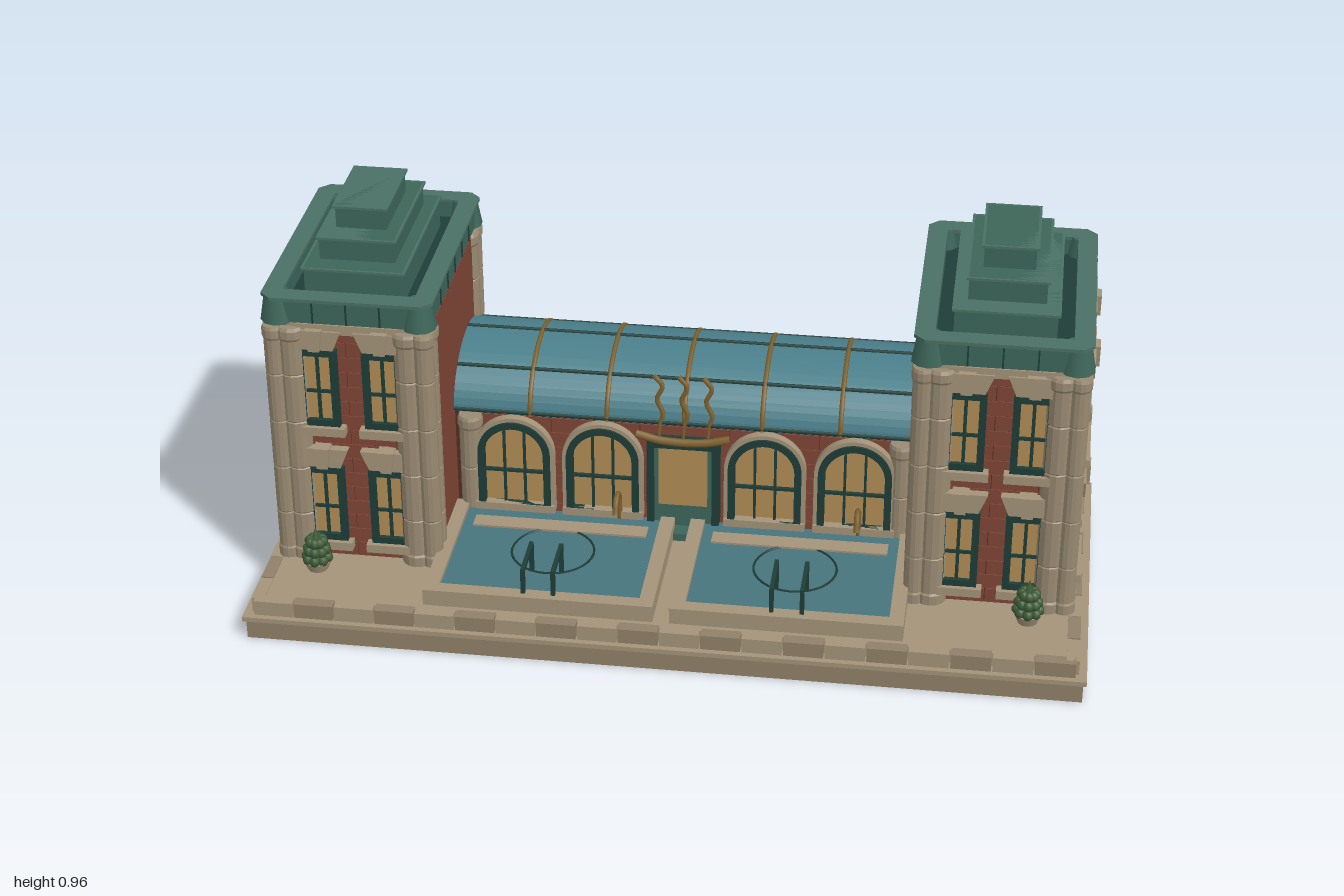
import * as THREE from 'three';
import { mergeGeometries } from 'three/addons/utils/BufferGeometryUtils.js';

const mat = (color, extra = {}) => new THREE.MeshStandardMaterial({ color, ...extra });
const M = {
  stone: mat(0xa39379), darkStone: mat(0x8f8069), brick: mat(0x7f4636), mortar: mat(0x542c24),
  roof: mat(0x3d6659), roofTop: mat(0x4a7064), frame: mat(0x1f3d38), glass: mat(0xb08d55),
  canopy: mat(0x4a7f8a), water: mat(0x47747d), gold: mat(0x80632f), leaf: mat(0x3d5a35),
};

function add(parent, name, geo, material, x = 0, y = 0, z = 0) {
  const m = new THREE.Mesh(geo, material);
  m.name = name;
  m.position.set(x, y, z);
  parent.add(m);
  return m;
}
// Box given by its bottom height
const box = (p, name, material, w, h, d, x, y0, z) =>
  add(p, name, new THREE.BoxGeometry(w, h, d), material, x, y0 + h / 2, z);

function group(parent, name, x = 0, y = 0, z = 0, ry = 0) {
  const g = new THREE.Group();
  g.name = name;
  g.position.set(x, y, z);
  g.rotation.y = ry;
  parent.add(g);
  return g;
}
const tube = (p, name, pts, r, material, n = 16) => add(p, name, new THREE.TubeGeometry(
  new THREE.CatmullRomCurve3(pts.map((a) => new THREE.Vector3(...a))), n, r, 6), material);

// Running-bond brick skin facing +z
function bricks(parent, w, h, y0) {
  const parts = [], rows = Math.round(h / 0.04), rh = h / rows, L = 0.11, gap = 0.002;
  for (let r = 0; r < rows; r++) {
    for (let a = -w / 2 - (r % 2) * L / 2; a < w / 2; a += L) {
      const l = Math.max(a, -w / 2), e = Math.min(a + L, w / 2);
      if (e - l < 0.01) continue;
      parts.push(new THREE.BoxGeometry(e - l - gap, rh - gap, 0.006).translate((l + e) / 2, y0 + (r + 0.5) * rh, 0));
    }
  }
  add(parent, 'brickwork', mergeGeometries(parts), M.brick);
}

// Sash window with sill, flared lintel and keystone, facing +z
function sashWindow(parent, x, y0, w, h) {
  const g = group(parent, 'window', x, y0, 0), t = 0.017;
  box(g, 'glass', M.glass, w - t, h - t, 0.012, 0, t / 2, 0.002);
  for (const s of [-1, 1]) {
    box(g, 'frameSide', M.frame, t, h, 0.026, s * (w - t) / 2, 0, 0.006);
    box(g, 'frameRail', M.frame, w, t, 0.026, 0, s < 0 ? 0 : h - t, 0.006);
  }
  box(g, 'mullion', M.frame, 0.008, h * 0.85, 0.018, 0, h * 0.08, 0.004);
  box(g, 'crossbar', M.frame, w, 0.008, 0.018, 0, h * 0.43, 0.004);
  box(g, 'sill', M.stone, w + 0.025, 0.022, 0.04, 0, -0.022, 0.01);
  const wedge = (name, b, t2, hh, d) => {
    const s = new THREE.Shape();
    s.moveTo(-b, 0); s.lineTo(b, 0); s.lineTo(t2, hh); s.lineTo(-t2, hh); s.closePath();
    add(g, name, new THREE.ExtrudeGeometry(s, { depth: d, bevelEnabled: false }), M.stone, 0, h + 0.004, 0);
  };
  wedge('lintel', w / 2 - 0.005, w / 2 + 0.015, 0.05, 0.025);
  wedge('keystone', 0.013, 0.02, 0.055, 0.035);
}

function archShape(r, spring, cls = THREE.Shape) {
  const s = new cls();
  s.moveTo(-r, 0); s.lineTo(r, 0); s.lineTo(r, spring);
  s.absarc(0, spring, r, 0, Math.PI, false);
  s.lineTo(-r, 0);
  return s;
}
function archedWindow(parent, x) {
  const g = group(parent, 'archedWindow', x, 0.15, -0.035);
  const ring = (name, ro, ri, d, material) => {
    const s = archShape(ro, 0.14);
    if (ri) s.holes.push(archShape(ri, 0.14, THREE.Path));
    add(g, name, new THREE.ExtrudeGeometry(s, { depth: d, bevelEnabled: false, curveSegments: 16 }), material);
  };
  ring('stoneArch', 0.1, 0.088, 0.022, M.stone);
  ring('frame', 0.09, 0.073, 0.028, M.frame);
  ring('glass', 0.08, 0, 0.008, M.glass);
  for (const dx of [-0.025, 0.025]) box(g, 'mullion', M.frame, 0.006, 0.2, 0.014, dx, 0, 0.01);
  box(g, 'crossbar', M.frame, 0.15, 0.007, 0.014, 0, 0.085, 0.01);
  box(g, 'sill', M.stone, 0.2, 0.02, 0.04, 0, -0.02, 0.01);
}

// Banded round shaft with base and capital
function column(parent, x, z, r, h) {
  const pts = [[0, 0], [r * 1.1, 0], [r * 1.1, 0.025], [r, 0.03]];
  const n = Math.round(h / 0.13);
  for (let i = 1; i < n; i++) {
    const y = h * i / n;
    pts.push([r, y - 0.003], [r * 0.94, y], [r, y + 0.003]);
  }
  pts.push([r, h - 0.035], [r * 1.12, h - 0.028], [r * 1.12, h - 0.008], [r, h], [0, h]);
  add(parent, 'column', new THREE.LatheGeometry(pts.map((p) => new THREE.Vector2(...p)), 14),
    mat(0x998a72, { flatShading: true }), x, 0.1, z);
}

function tower(root, side) {
  const t = group(root, 'tower', side * 0.76, 0, -0.085);
  box(t, 'core', M.mortar, 0.37, 0.64, 0.56, 0, 0.1, 0);
  box(t, 'innerWall', M.brick, 0.01, 0.63, 0.53, -side * 0.186, 0.1, 0);
  // Front, back and outer faces
  for (const [ry, d, w, off, ww] of [[0, 0.28, 0.24, 0.078, 0.096], [Math.PI, 0.28, 0.24, 0.078, 0.096],
    [side * Math.PI / 2, 0.185, 0.44, 0.125, 0.155]]) {
    const f = group(t, 'facade', Math.sin(ry) * d, 0, Math.cos(ry) * d, ry);
    bricks(f, w, 0.63, 0.1);
    for (const y of [0.15, 0.47]) for (const s of [-1, 1]) sashWindow(f, s * off, y, ww, 0.205);
    box(f, 'frieze', M.stone, w, 0.025, 0.03, 0, 0.72, 0.005);
  }
  for (const sx of [-1, 1]) for (const sz of [-1, 1]) {
    column(t, sx * 0.178, sz * 0.288, 0.025, 0.635);
    column(t, sx * 0.138, sz * 0.278, 0.035, 0.635);
    column(t, sx * 0.168, sz * 0.247, 0.035, 0.635);
    // Flared roof corner
    add(t, 'roofCorner', new THREE.CylinderGeometry(0.03, 0.042, 0.068, 10), M.roof, sx * 0.168, 0.776, sz * 0.271);
  }
  box(t, 'topCourse', M.stone, 0.38, 0.012, 0.59, 0, 0.735, 0);
  box(t, 'roofFloor', M.frame, 0.35, 0.02, 0.56, 0, 0.744, 0);
  // Parapet ring
  const rect = (C, a, b, c) => {
    const s = new C();
    s.moveTo(-a + c, -b);
    for (const [x, y] of [[a - c, -b], [a, -b + c], [a, b - c], [a - c, b], [-a + c, b], [-a, b - c], [-a, -b + c], [-a + c, -b]]) s.lineTo(x, y);
    return s;
  };
  const ring = (name, a, b, h, y, material) => {
    const s = rect(THREE.Shape, a, b, 0.025);
    s.holes.push(rect(THREE.Path, 0.157, 0.257, 0.001));
    add(t, name, new THREE.ExtrudeGeometry(s, { depth: h, bevelEnabled: false }).rotateX(-Math.PI / 2), material, 0, y, 0);
  };
  ring('parapet', 0.196, 0.296, 0.06, 0.745, M.roof);
  ring('parapetCap', 0.204, 0.305, 0.008, 0.803, M.roofTop);
  for (const s of [-1, 1]) {
    for (let i = -2; i <= 2; i++) {
      box(t, 'roofSeam', M.frame, 0.004, 0.056, 0.004, s * 0.197, 0.746, i * 0.083);
      if (Math.abs(i) < 2) box(t, 'roofSeam', M.frame, 0.004, 0.056, 0.004, i * 0.08, 0.746, s * 0.297);
    }
  }
  // Stepped roof
  for (const [hx, hz, y0, y1] of [[0.118, 0.208, 0.76, 0.845], [0.09, 0.16, 0.845, 0.903], [0.06, 0.106, 0.903, 0.96]]) {
    box(t, 'roofStep', M.roof, hx * 2, y1 - y0, hz * 2, 0, y0, 0);
    box(t, 'roofStepLip', M.roofTop, hx * 2 + 0.012, 0.006, hz * 2 + 0.012, 0, y1 - 0.006, 0);
  }
}

function hall(root) {
  const g = group(root, 'hall');
  box(g, 'hallCore', M.mortar, 1.15, 0.285, 0.35, 0, 0.1, -0.218);
  bricks(group(g, 'frontWall', 0, 0, -0.042), 1.1, 0.285, 0.1);
  const back = group(g, 'backWall', 0, 0, -0.394, Math.PI);
  bricks(back, 1.1, 0.285, 0.1);
  for (const x of [-0.36, 0, 0.36]) sashWindow(back, x, 0.15, 0.15, 0.2);
  for (const x of [-0.42, -0.2, 0.2, 0.42]) archedWindow(g, x);
  for (const s of [-1, 1]) {
    column(g, s * 0.53, -0.035, 0.028, 0.285);
    column(g, s * 0.51, -0.395, 0.036, 0.28);
  }
  // Barrel roof with ribs
  const cy = 0.392, cz = -0.218, ry = 0.132, rz = 0.187;
  const s = new THREE.Shape();
  s.absellipse(0, 0, rz, ry, 0, Math.PI, false);
  s.closePath();
  add(g, 'barrelRoof', new THREE.ExtrudeGeometry(s, { depth: 1.15, bevelEnabled: false, curveSegments: 12 })
    .rotateY(-Math.PI / 2), M.canopy, 0.575, cy, cz);
  const at = (a, x) => [x, cy + ry * Math.sin(a), cz + rz * Math.cos(a)];
  for (let i = -2; i <= 2; i++) {
    const pts = [];
    for (let k = 0; k <= 12; k++) pts.push(at(k * Math.PI / 12, i * 0.19));
    tube(g, 'roofRib', pts, 0.006, M.gold, 24);
  }
  for (const a of [0.05, 0.83, 1.63, 2.4, 3.09]) tube(g, 'roofPurlin', [at(a, -0.57), at(a, 0.57)], 0.005, M.frame, 1);
  // Door, awning and steam sign
  const d = group(g, 'door', 0, 0, -0.025);
  box(d, 'doorPanel', M.roof, 0.15, 0.25, 0.03, 0, 0.1, 0);
  box(d, 'doorGlass', M.glass, 0.12, 0.16, 0.034, 0, 0.18, 0);
  for (const sx of [-1, 1]) box(d, 'doorPost', M.frame, 0.018, 0.26, 0.044, sx * 0.08, 0.1, 0);
  box(d, 'doorHead', M.frame, 0.178, 0.018, 0.044, 0, 0.342, 0);
  box(d, 'doorstep', M.roof, 0.055, 0.02, 0.05, 0, 0.1, 0.03);
  tube(d, 'signBar', [[-0.115, 0.375, 0.015], [-0.05, 0.363, 0.02], [0.05, 0.363, 0.02], [0.115, 0.375, 0.015]], 0.01, M.gold);
  for (const x of [-0.06, 0, 0.06]) {
    tube(d, 'steamCurl', [[x + 0.004, 0.41, 0.012], [x + 0.011, 0.435, 0.012], [x - 0.004, 0.475, 0.012],
      [x + 0.01, 0.51, 0.012], [x - 0.012, 0.54, 0.012]], 0.006, M.gold);
    tube(d, 'steamStay', [[x, 0.365, 0.015], [x + 0.004, 0.412, 0.012]], 0.004, M.gold, 2);
  }
}

function pool(root, side) {
  const g = group(root, 'pool', side * 0.295, 0, 0.18);
  box(g, 'water', M.water, 0.5, 0.03, 0.38, 0, 0.1, -0.01);
  for (const s of [-1, 1]) box(g, 'poolSide', M.stone, 0.035, 0.042, 0.41, s * 0.258, 0.1, 0);
  box(g, 'poolFront', M.stone, 0.55, 0.042, 0.035, 0, 0.1, 0.19);
  box(g, 'poolBench', M.stone, 0.43, 0.01, 0.045, 0, 0.125, -0.127);
  add(g, 'drainRing', new THREE.TorusGeometry(0.1, 0.003, 5, 32).rotateX(Math.PI / 2), M.frame, 0, 0.131, -0.018);
  for (const x of [-0.036, 0.036]) {
    box(g, 'railTop', M.frame, 0.01, 0.01, 0.125, x, 0.198, 0.127);
    for (const z of [0.07, 0.185]) box(g, 'railPost', M.frame, 0.01, 0.085, 0.012, x, 0.12, z);
  }
  tube(g, 'spout', [[0.137, 0.13, -0.19], [0.137, 0.205, -0.18], [0.137, 0.215, -0.14], [0.137, 0.18, -0.12]], 0.007, M.gold);
}

function topiary(root, side) {
  const g = group(root, 'topiary', side * 0.855, 0.1, 0.265);
  add(g, 'pot', new THREE.CylinderGeometry(0.034, 0.024, 0.025, 12), M.stone, 0, 0.0125, 0);
  [[0.026, 0.033], [0.022, 0.055], [0.016, 0.077]].forEach(([r, y]) => {
    for (let i = 0; i < 8; i++) {
      const a = i * Math.PI / 4;
      add(g, 'leaves', new THREE.SphereGeometry(0.0135, 7, 5), M.leaf, r * Math.cos(a), y, r * Math.sin(a));
    }
  });
  add(g, 'treeCore', new THREE.ConeGeometry(0.03, 0.095, 8), M.leaf, 0, 0.07, 0);
}

export function createModel() {
  const root = new THREE.Group();
  root.name = 'bathhouse';
  // Plinth with a border of blocks
  box(root, 'plinth', M.darkStone, 1.985, 0.05, 0.87, 0, 0, 0);
  box(root, 'plinthLip', M.stone, 2, 0.012, 0.885, 0, 0.05, 0);
  box(root, 'floor', M.stone, 1.92, 0.036, 0.81, 0, 0.062, 0);
  for (const s of [-1, 1]) {
    for (let i = 0; i < 20; i++) box(root, 'borderBlock', i % 2 ? M.darkStone : M.stone, 0.094, 0.04, 0.03, (i - 9.5) * 0.0975, 0.06, s * 0.413);
    for (let i = 0; i < 9; i++) box(root, 'borderBlock', i % 2 ? M.darkStone : M.stone, 0.03, 0.04, 0.088, s * 0.966, 0.06, (i - 4) * 0.0925);
  }
  hall(root);
  for (const s of [-1, 1]) {
    tower(root, s);
    pool(root, s);
    topiary(root, s);
  }
  return root;
}
